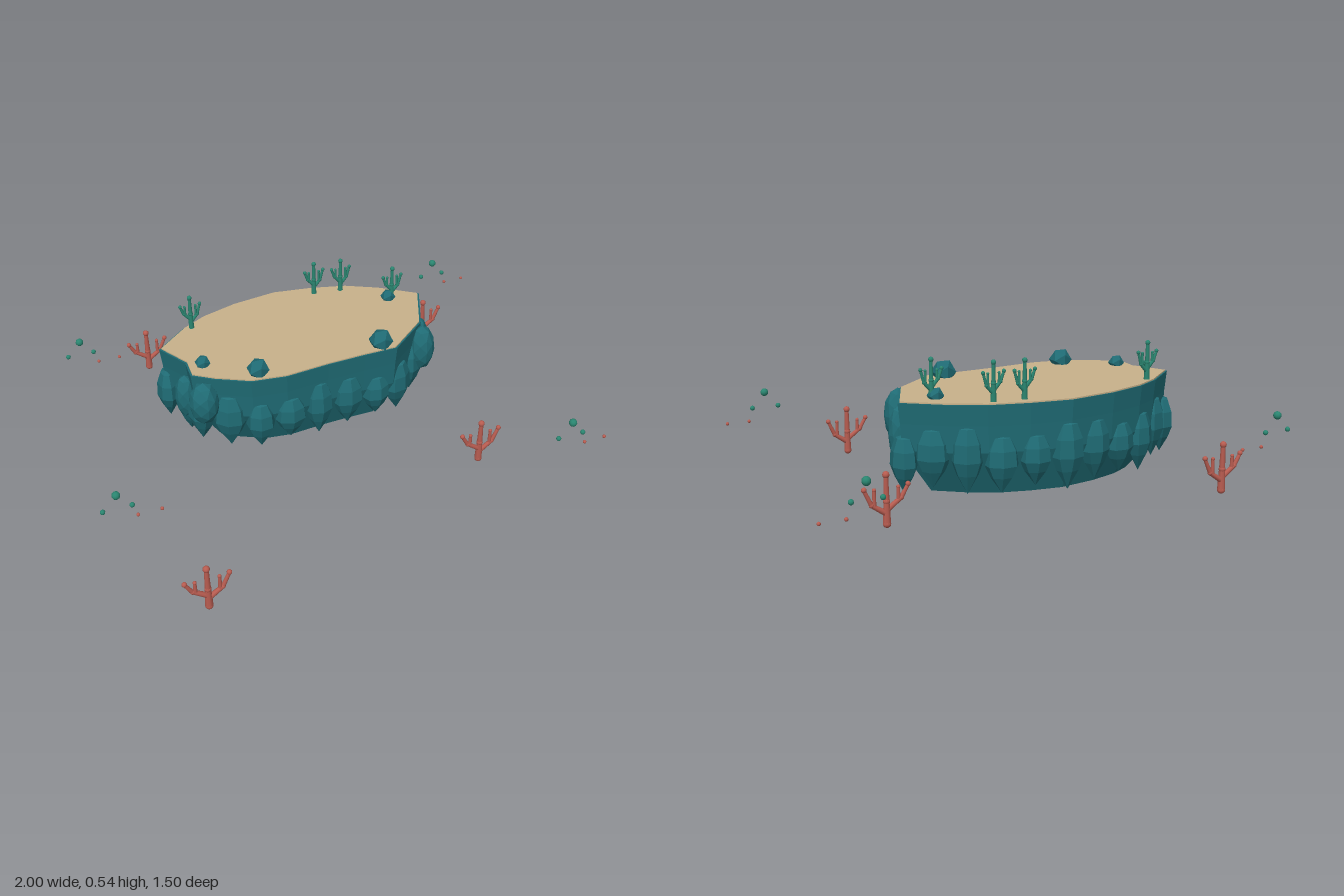
import * as THREE from 'three';

const mat = (name, color) => {
  const m = new THREE.MeshStandardMaterial({ color });
  m.name = name;
  return m;
};

// Separate the faces so that each one is shaded flat
const facet = (geo) => {
  const g = geo.index ? geo.toNonIndexed() : geo;
  g.computeVertexNormals();
  return g;
};

// Plan of the island rim as [x, z]: left, back, right, front
const rim = [
  [-0.59, -0.32], [-0.46, -0.43], [-0.36, -0.485], [-0.21, -0.53], [-0.02, -0.555], [0.14, -0.53],
  [0.29, -0.49], [0.42, -0.42], [0.56, -0.316], [0.505, -0.19], [0.47, -0.11], [0.3, 0.025],
  [0.16, 0.025], [0, 0.03], [-0.18, 0.045], [-0.32, 0.025], [-0.45, -0.045], [-0.525, -0.1], [-0.52, -0.19],
];
const CX = -0.01, CZ = -0.26, TOP = 0.378;
const scaled = (s) => rim.map(([x, z]) => [CX + (x - CX) * s, CZ + (z - CZ) * s]);

// Loft the rim through stacked rings, then cap both ends
function slabGeometry() {
  const rings = [[TOP, 1], [0.3, 0.985], [0.2, 0.975], [0.03, 0.77]];
  const n = rim.length, pos = [], idx = [];
  for (const [y, s] of rings) for (const [x, z] of scaled(s)) pos.push(x, y, z);
  pos.push(CX, TOP, CZ, CX, 0.03, CZ);
  const topMid = rings.length * n, last = (rings.length - 1) * n;
  for (let i = 0; i < n; i++) {
    const j = (i + 1) % n;
    for (let r = 0; r < rings.length - 1; r++) {
      const a = r * n + i, b = r * n + j;
      idx.push(a, b, b + n, a, b + n, a + n);
    }
    idx.push(topMid, j, i, topMid + 1, last + i, last + j);
  }
  const g = new THREE.BufferGeometry();
  g.setAttribute('position', new THREE.Float32BufferAttribute(pos, 3));
  g.setIndex(idx);
  return facet(g);
}

export function createModel() {
  const model = new THREE.Group();
  const rock = mat('teal rock', 0x1f6b74);
  const sand = mat('sand', 0xc8b18a);
  const green = mat('sea green', 0x2a8570);
  const red = mat('coral red', 0xb85c50);

  const add = (parent, name, geo, material, x = 0, y = 0, z = 0) => {
    const m = new THREE.Mesh(geo, material);
    m.name = name;
    m.position.set(x, y, z);
    parent.add(m);
    return m;
  };

  // Island body and its sandy top
  add(model, 'islandBody', slabGeometry(), rock);
  const sandShape = new THREE.Shape(scaled(0.985).map(([x, z]) => new THREE.Vector2(x, -z)));
  const sandGeo = new THREE.ExtrudeGeometry(sandShape, { depth: 0.007, bevelEnabled: false });
  add(model, 'sandTop', sandGeo.rotateX(-Math.PI / 2), sand, 0, TOP - 0.002, 0);

  // Pointed stones hanging round the side
  const profile = [[0, -0.5], [0.34, -0.22], [0.5, -0.02], [0.46, 0.24], [0.28, 0.45], [0, 0.5]];
  const stoneGeo = facet(new THREE.LatheGeometry(profile.map((p) => new THREE.Vector2(...p)), 7));
  const stones = new THREE.Group();
  stones.name = 'sideStones';
  model.add(stones);
  const rimShape = new THREE.Shape(rim.map(([x, z]) => new THREE.Vector2(x, z)));
  rimShape.closePath();
  const count = 22;
  const spots = rimShape.getSpacedPoints(count);
  for (let i = 0; i < count; i++) {
    const p = spots[i], a = spots[(i + count - 1) % count], b = spots[(i + 1) % count];
    const nx = b.y - a.y, nz = a.x - b.x, len = Math.hypot(nx, nz);
    const low = 0.05 + 0.015 * Math.sin(i * 2.3), high = 0.28 + 0.025 * Math.sin(i * 1.7);
    const inset = 0.022;
    const s = add(stones, 'sideStone', stoneGeo, rock,
      p.x - (nx / len) * inset, (low + high) / 2, p.y - (nz / len) * inset);
    s.rotation.y = Math.atan2(nx, nz);
    s.scale.set(0.125 + 0.012 * Math.sin(i * 3.1), high - low, 0.095);
  }

  // Rounder boulders at the corners
  const boulderGeo = facet(new THREE.IcosahedronGeometry(1, 1));
  for (const [x, y, z, w, h] of [
    [-0.49, 0.27, -0.055, 0.06, 0.095], [0.465, 0.27, -0.085, 0.055, 0.105],
    [0.505, 0.23, -0.2, 0.045, 0.11], [-0.53, 0.23, -0.18, 0.045, 0.1],
  ]) add(stones, 'cornerBoulder', boulderGeo, rock, x, y, z).scale.set(w, h, w);

  // Small rocks lying on the sand
  const pebbleGeo = facet(new THREE.IcosahedronGeometry(1, 0));
  for (const [x, z, r] of [[-0.275, -0.02, 0.046], [0.247, -0.02, 0.05], [-0.46, -0.15, 0.032], [0.417, -0.325, 0.032]]) {
    add(model, 'topRock', pebbleGeo, rock, x, TOP + r * 0.45, z).scale.setScalar(r);
  }

  // Branching corals, flat in the xy plane: trunk, paired arms and round tips
  const ball = new THREE.SphereGeometry(1, 10, 8);
  const stick = (parent, name, material, a, b, r0, r1) => {
    const from = new THREE.Vector3(a[0], a[1], 0), to = new THREE.Vector3(b[0], b[1], 0);
    const dir = to.clone().sub(from), mid = from.clone().add(to).multiplyScalar(0.5);
    const m = add(parent, name, new THREE.CylinderGeometry(r1, r0, dir.length(), 8), material, mid.x, mid.y, 0);
    m.quaternion.setFromUnitVectors(new THREE.Vector3(0, 1, 0), dir.normalize());
    add(parent, name + 'End', ball, material, b[0], b[1], 0).scale.setScalar(r1 * 1.15);
  };
  const coral = (name, material, x, y, z, w, h, r) => {
    const g = new THREE.Group();
    g.name = name;
    g.position.set(x, y, z);
    model.add(g);
    const at = (u, v) => [u * w, v * h];
    add(g, 'base', ball, material, 0, r * 0.9, 0).scale.setScalar(r);
    stick(g, 'trunk', material, at(0, 0.06), at(0, 0.5), r, r * 0.75);
    stick(g, 'stem', material, at(0, 0.5), at(0, 1), r * 0.75, r * 0.55);
    add(g, 'topTip', ball, material, 0, h, 0).scale.setScalar(r * 0.85);
    for (const s of [-1, 1]) {
      const low = s > 0 ? 0.26 : 0.33;
      stick(g, 'arm', material, at(0, low), at(s * 0.68, low + 0.2), r * 0.7, r * 0.55);
      stick(g, 'outerTwig', material, at(s * 0.68, low + 0.2), at(s, 0.76), r * 0.55, r * 0.45);
      stick(g, 'innerTwig', material, at(s * 0.55, low + 0.16), at(s * 0.55, 0.74), r * 0.5, r * 0.42);
      add(g, 'armTip', ball, material, s * w, 0.77 * h, 0).scale.setScalar(r * 0.65);
    }
  };
  for (const [x, z] of [[-0.553, -0.74], [0.685, -0.51], [0.508, 0.377], [-0.73, 0.73]]) {
    coral('redCoral', red, x, 0, z, 0.08, 0.188, 0.015);
  }
  for (const [x, z] of [[-0.425, -0.42], [0.14, -0.483], [0.255, -0.465], [0.432, -0.323]]) {
    coral('greenCoral', green, x, TOP - 0.005, z, 0.041, 0.152, 0.0115);
  }

  // Drifting bubbles: [x offset, height, radius, material]
  const bubbles = [
    [0, 0.188, 0.01, green], [0.055, 0.25, 0.016, green], [0.108, 0.188, 0.01, green],
    [0.125, 0.134, 0.007, red], [0.215, 0.134, 0.007, red],
  ];
  for (const [x, z] of [[-0.905, -0.685], [0.777, -0.72], [-0.99, 0.323], [0.74, 0.572]]) {
    const g = new THREE.Group();
    g.name = 'bubbleCluster';
    g.position.set(x, 0, z);
    model.add(g);
    for (const [dx, y, r, m] of bubbles) add(g, 'bubble', ball, m, dx, y, 0).scale.setScalar(r);
  }
  return model;
}
